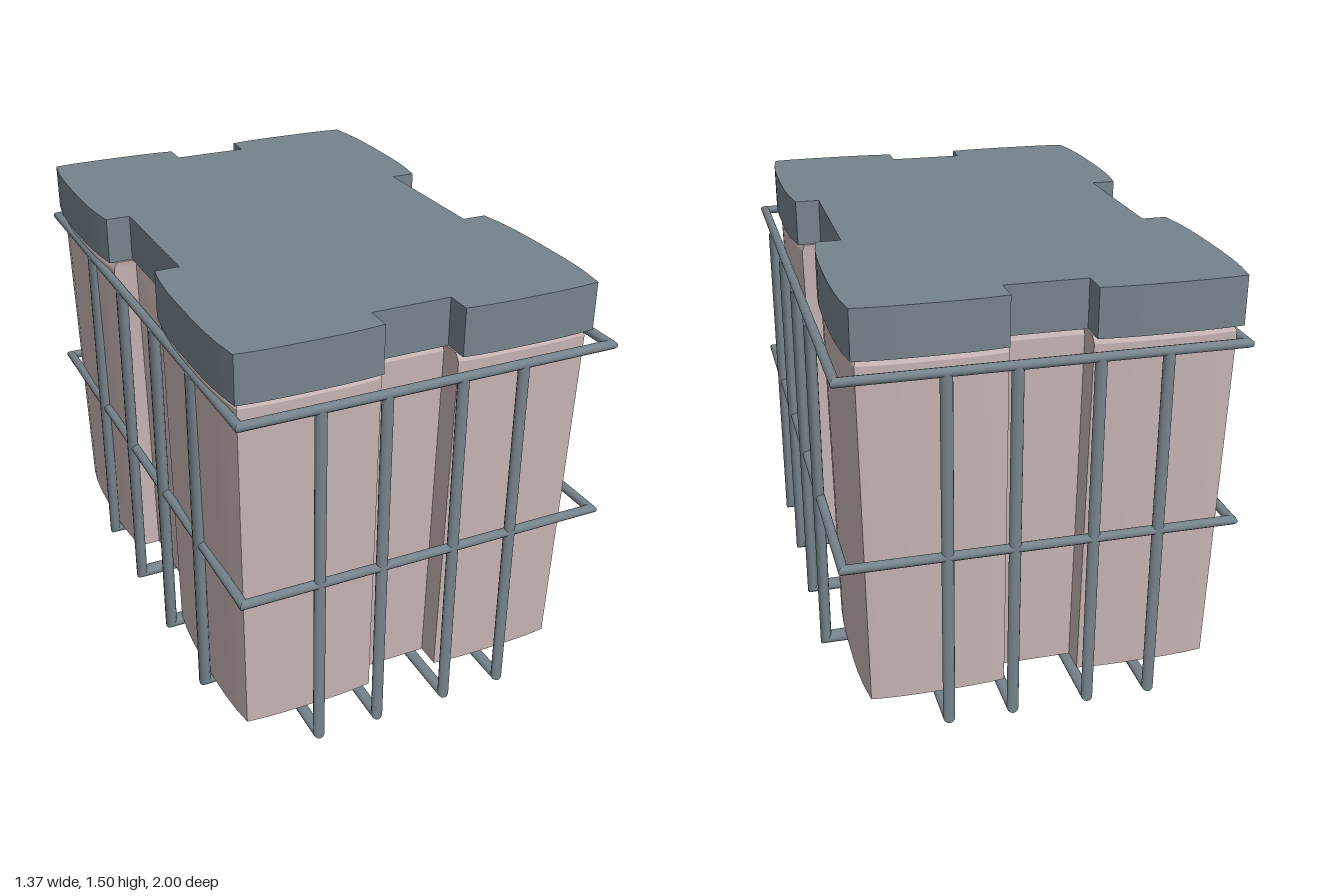
import * as THREE from 'three';
import { toCreasedNormals } from 'three/addons/utils/BufferGeometryUtils.js';

// Outline shared by lid and tub: four gently bowed lobes with a notch in each side
function outline() {
  const quarter = [[0.545, 0.267]];
  const n = 8;
  for (let i = 0; i <= n; i++) {
    const t = (i / n) * 2 - 1;
    quarter.push([0.632 + 0.023 * (1 - Math.abs(t) ** 3), 0.61 + 0.343 * t]);
  }
  for (let i = 1; i <= n; i++) {
    const t = 1 - (i / n) * 2;
    quarter.push([0.386 + 0.246 * t, 0.953 + 0.011 * (1 - Math.abs(t) ** 3)]);
  }
  quarter.push([0.14, 0.86]);
  const back = [...quarter].reverse();
  return new THREE.Shape([
    ...quarter.map(([x, y]) => new THREE.Vector2(x, y)),
    ...back.map(([x, y]) => new THREE.Vector2(-x, y)),
    ...quarter.map(([x, y]) => new THREE.Vector2(-x, -y)),
    ...back.map(([x, y]) => new THREE.Vector2(x, -y)),
  ]);
}

// Stack of scaled outlines; levels are [height, scale]
function stack(levels) {
  const steps = levels.length - 1;
  const g = new THREE.ExtrudeGeometry(outline(), { depth: steps, steps, bevelEnabled: false });
  g.rotateX(-Math.PI / 2);
  const p = g.attributes.position;
  for (let i = 0; i < p.count; i++) {
    const [y, s] = levels[Math.round(p.getY(i))];
    p.setXYZ(i, p.getX(i) * s, y, p.getZ(i) * s);
  }
  return toCreasedNormals(g, 0.35);
}

// Mitred wire: path entries are [a, b, da, db], where (da, db) is the outward mitre.
// place(a, b, n) maps the wire's plane and its normal to x, y, z.
function wire(path, closed, rIn, rOut, place) {
  const sides = 12, pos = [], index = [];
  const section = ([a, b, da, db]) => {
    for (let k = 0; k < sides; k++) {
      const t = (k / sides) * Math.PI * 2;
      const c = Math.cos(t) * rIn;
      pos.push(...place(a + da * c, b + db * c, Math.sin(t) * rOut));
    }
  };
  const segments = closed ? path.length : path.length - 1;
  for (let s = 0; s < segments; s++) {
    const base = pos.length / 3;
    section(path[s]);
    section(path[(s + 1) % path.length]);
    for (let k = 0; k < sides; k++) {
      const a = base + k, b = base + (k + 1) % sides;
      index.push(a, b, a + sides, b, b + sides, a + sides);
    }
  }
  // Flat end caps on open wires
  if (!closed) {
    [path[0], path[path.length - 1]].forEach((end, e) => {
      const base = pos.length / 3;
      section(end);
      for (let k = 1; k < sides - 1; k++) {
        if (e === 0) index.push(base, base + k + 1, base + k);
        else index.push(base, base + k, base + k + 1);
      }
    });
  }
  const g = new THREE.BufferGeometry();
  g.setAttribute('position', new THREE.Float32BufferAttribute(pos, 3));
  g.setIndex(index);
  g.computeVertexNormals();
  return g;
}

// U-shaped wire path, open at the top
const uPath = (half, low, high) => [
  [-half, high, -1, 0], [-half, low, -1, -1], [half, low, 1, -1], [half, high, 1, 0],
];

export function createModel() {
  const model = new THREE.Group();
  model.name = 'containerInWireBasket';
  const grey = new THREE.MeshStandardMaterial({ color: 0x76838b, side: THREE.DoubleSide });
  grey.name = 'slateGrey';
  const pink = new THREE.MeshStandardMaterial({ color: 0xc8b4b4 });
  pink.name = 'dustyPink';

  const add = (parent, name, geometry, material) => {
    const mesh = new THREE.Mesh(geometry, material);
    mesh.name = name;
    parent.add(mesh);
    return mesh;
  };

  // Tapered tub with a turned-in rim, and its thick lid
  const container = new THREE.Group();
  container.name = 'container';
  container.position.set(-0.025, 0, -0.005);
  add(container, 'tub', stack([[0.08, 0.947], [1.31, 0.978], [1.336, 0.962]]), pink);
  add(container, 'lid', stack([[1.335, 1], [1.503, 1]]), grey);
  model.add(container);

  // Wire basket
  const basket = new THREE.Group();
  basket.name = 'wireBasket';
  model.add(basket);

  // Horizontal hoops
  const hoop = [[-1, -1], [1, -1], [1, 1], [-1, 1]].map(([x, z]) => [x * 0.66, z * 0.983, x, z]);
  for (const y of [0.645, 1.285]) {
    add(basket, 'hoop', wire(hoop, true, 0.017, 0.016, (a, b, n) => [a, y - n, b]), grey);
  }
  // Wires running down the front, under the tub and up the back
  for (const x of [-0.395, -0.17, 0.098, 0.322]) {
    add(basket, 'lengthwiseWire',
      wire(uPath(0.985, 0.017, 1.285), false, 0.015, 0.021, (a, b, n) => [x - n, b, a]), grey);
  }
  // Wires running down one side, under the tub and up the other
  for (const z of [0.6, 0.24, -0.113, -0.47]) {
    add(basket, 'crosswiseWire',
      wire(uPath(0.665, 0.058, 1.285), false, 0.02, 0.03, (a, b, n) => [a, b, z + n]), grey);
  }
  return model;
}
